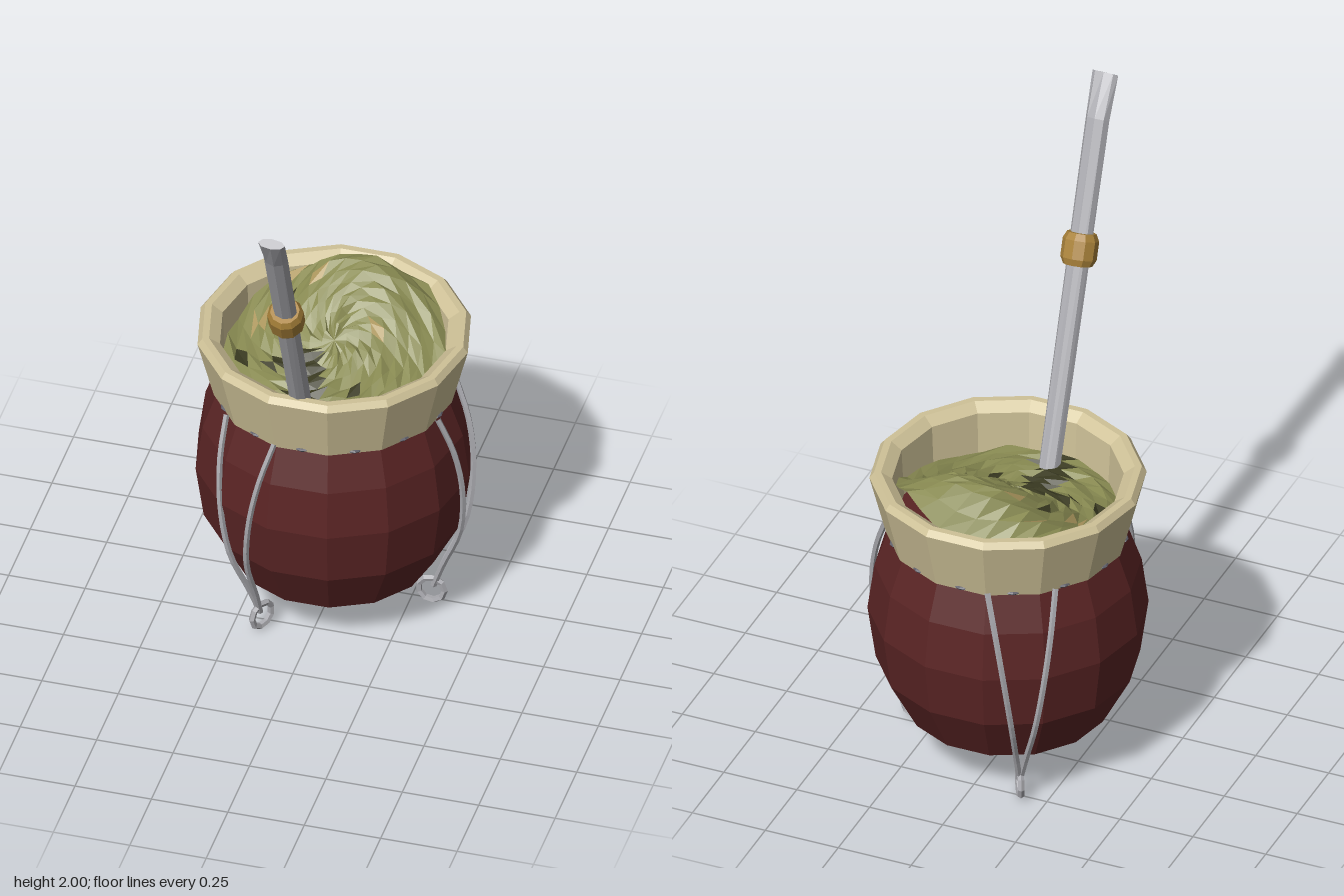
import * as THREE from 'three';

const mat = (name, color, extra = {}) => Object.assign(new THREE.MeshStandardMaterial({ color, ...extra }), { name });
const SIDES = 14;
const CUP_Z = -0.23;

// Faceted normals for the low-poly look
function facet(geo) {
  const g = geo.index ? geo.toNonIndexed() : geo;
  g.computeVertexNormals();
  return g;
}

function add(parent, name, geo, material) {
  const m = new THREE.Mesh(facet(geo), material);
  m.name = name;
  parent.add(m);
  return m;
}

function lathe(points, sides, start = 0) {
  return new THREE.LatheGeometry(points.map(p => new THREE.Vector2(...p)), sides, start);
}

// Mound height, local to the cup axis
function herbHeight(x, z) {
  const dz = z + 0.25;
  return 0.875 + 0.25 * Math.exp(-((x - 0.03) ** 2) / 0.11 - dz * dz / (dz > 0 ? 0.065 : 0.012));
}

function segDist(x, z, [ax, az], [bx, bz]) {
  const dx = bx - ax, dz = bz - az;
  const t = Math.min(1, Math.max(0, ((x - ax) * dx + (z - az) * dz) / (dx * dx + dz * dz)));
  return Math.hypot(x - ax - t * dx, z - az - t * dz);
}

// Herb surface: twisted polar grid, with wet and dry faces in their own groups
function herbGeometry() {
  let seed = 7;
  const rnd = () => ((seed = (seed * 16807) % 2147483647) / 2147483647) - 0.5;
  const RINGS = 9, SEG = 28, R = 0.353;
  const grid = [];
  for (let i = 0; i <= RINGS; i++) {
    const row = [];
    for (let j = 0; j < SEG; j++) {
      const a = (j / SEG) * Math.PI * 2 + i * 0.13;
      const r = R * i / RINGS;
      const x = Math.cos(a) * r, z = Math.sin(a) * r;
      const n = i === 0 ? 0 : rnd() * 0.024;
      row.push(new THREE.Vector3(x, herbHeight(x, z) + n, z));
    }
    grid.push(row);
  }
  const wetPath = [[-0.18, 0.08], [-0.07, 0.08], [-0.045, 0.2], [-0.02, 0.33]];
  const wetSpots = [[-0.28, 0.06], [-0.19, -0.14], [0.1, 0.13]];
  const drySpots = [[-0.21, -0.21], [-0.09, -0.2], [0.12, -0.05], [-0.26, -0.06]];
  const near = (spots, x, z, d) => spots.some(s => Math.hypot(x - s[0], z - s[1]) < d);
  const sets = [[], [], []];
  const tri = (a, b, c) => {
    const x = (a.x + b.x + c.x) / 3, z = (a.z + b.z + c.z) / 3;
    let kind = 0;
    const wet = wetPath.slice(1).some((p, k) => segDist(x, z, wetPath[k], p) < (k === 0 ? 0.022 : 0.05));
    if (wet || near(wetSpots, x, z, 0.025)) kind = 1;
    else if (near(drySpots, x, z, 0.023)) kind = 2;
    for (const v of [a, b, c]) sets[kind].push(v.x, v.y, v.z);
  };
  for (let i = 0; i < RINGS; i++) for (let j = 0; j < SEG; j++) {
    const k = (j + 1) % SEG;
    const a = grid[i][j], b = grid[i][k], c = grid[i + 1][k], d = grid[i + 1][j];
    if (i > 0) tri(a, b, c);
    tri(a, c, d);
  }
  const geo = new THREE.BufferGeometry();
  geo.setAttribute('position', new THREE.Float32BufferAttribute(sets.flat(), 3));
  let start = 0;
  sets.forEach((s, k) => { geo.addGroup(start, s.length / 3, k); start += s.length / 3; });
  return geo;
}

// Straw: an eight-sided tube with a bend and a flattened tip
function strawGeometry() {
  const rows = [
    { p: [-0.03, 0.6, -0.072], w: 0.035, t: 0.034, a: 0.46 },
    { p: [0.03, 1.87, 0.552], w: 0.04, t: 0.029, a: 0.53 },
    { p: [0.04, 1.989, 0.637], w: 0.044, t: 0.017, a: 0.62 },
  ];
  const geo = new THREE.CylinderGeometry(1, 1, 2, 8, 2);
  const pos = geo.attributes.position;
  for (let i = 0; i < pos.count; i++) {
    const r = rows[Math.round(pos.getY(i)) + 1];
    const x = pos.getX(i) * r.w, n = pos.getZ(i) * r.t;
    pos.setXYZ(i, r.p[0] + x, r.p[1] - Math.sin(r.a) * n, r.p[2] + Math.cos(r.a) * n);
  }
  return geo;
}

export function createModel() {
  const leather = mat('dark red leather', 0x5a2424);
  const cream = mat('cream collar', 0xcfc298);
  const herb = mat('green herb', 0x898b52, { side: THREE.DoubleSide });
  const wetHerb = mat('wet herb', 0x3b3b22, { side: THREE.DoubleSide });
  const dryHerb = mat('dry stalks', 0xb09a60, { side: THREE.DoubleSide });
  const steel = mat('steel', 0xa9a9ae);
  const brass = mat('brass', 0xa9823a);
  const stitchGrey = mat('stitch grey', 0x62626c);

  const model = new THREE.Group();
  model.name = 'drinkingGourd';
  const cup = new THREE.Group();
  cup.name = 'cup';
  cup.position.z = CUP_Z;
  model.add(cup);

  // Gourd body and collar
  add(cup, 'body', lathe([[0, 0.07], [0.185, 0.07], [0.325, 0.16], [0.417, 0.335], [0.443, 0.52],
    [0.421, 0.68], [0.375, 0.81], [0.36, 0.84], [0, 0.84]], SIDES, Math.PI / 2), leather);
  add(cup, 'collar', lathe([[0.355, 0.805], [0.385, 0.805], [0.437, 1.01], [0.422, 1.03], [0.4, 1.03],
    [0.365, 1.005], [0.355, 0.805]], SIDES, Math.PI / 2), cream);
  add(cup, 'herb', herbGeometry(), [herb, wetHerb, dryHerb]);

  // Stitches under the collar
  for (let i = 0; i < SIDES; i++) {
    const a = ((i + 0.5) / SIDES) * Math.PI * 2;
    const s = add(cup, 'stitch', new THREE.SphereGeometry(1, 6, 4), stitchGrey);
    s.scale.set(0.012, 0.007, 0.021);
    s.position.set(Math.cos(a) * 0.374, 0.813, Math.sin(a) * 0.374);
    s.rotation.y = -a;
  }

  // Three legs, each a V of two cords ending in a ring
  const cordProfile = [[0.384, 0.815], [0.425, 0.68], [0.443, 0.52], [0.425, 0.335], [0.36, 0.17], [0.325, 0.07]];
  for (let i = 0; i < 3; i++) {
    const leg = new THREE.Group();
    leg.name = 'cordLeg';
    leg.rotation.y = (i * Math.PI * 2) / 3;
    for (const side of [-1, 1]) {
      const pts = cordProfile.map(([r, y]) => {
        const z = side * 0.108 * (y - 0.07) / 0.745;
        return new THREE.Vector3(Math.sqrt(r * r - z * z), y, z);
      });
      add(leg, 'cord', new THREE.TubeGeometry(new THREE.CatmullRomCurve3(pts), 16, 0.01, 5), steel);
    }
    const ring = add(leg, 'ring', new THREE.TorusGeometry(0.043, 0.011, 5, 9), steel);
    ring.position.set(0.318, 0.056, 0);
    cup.add(leg);
  }

  // Straw and its brass band
  add(model, 'straw', strawGeometry(), steel);
  const band = add(model, 'strawBand', lathe([[0, -0.052], [0.047, -0.052], [0.058, -0.03],
    [0.058, 0.03], [0.047, 0.052], [0, 0.052]], 10), brass);
  band.position.set(0.012, 1.495, 0.368);
  band.quaternion.setFromUnitVectors(new THREE.Vector3(0, 1, 0), new THREE.Vector3(0.048, 1, 0.492).normalize());

  return model;
}
